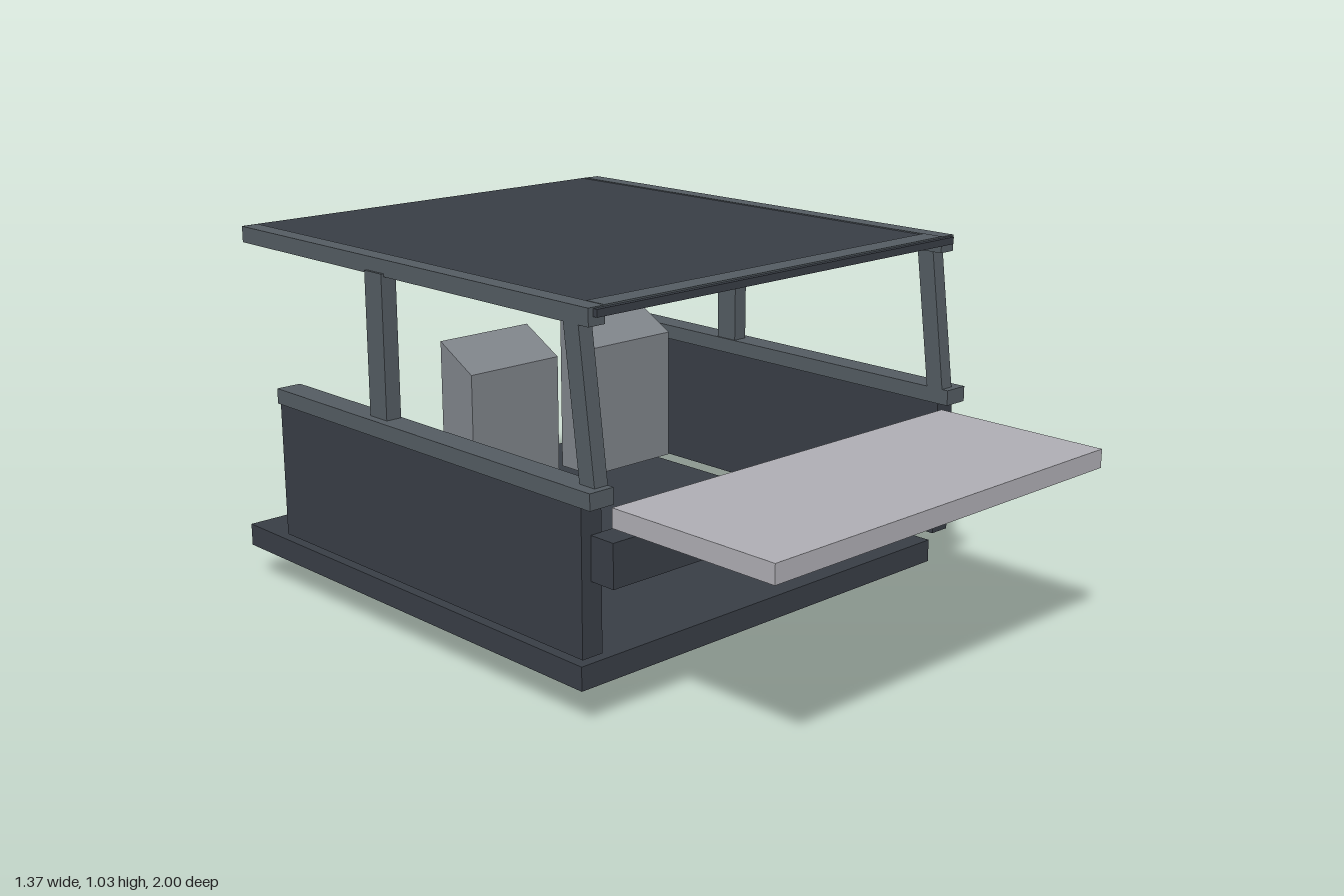
import * as THREE from 'three';

const mat = (name, color) => {
  const m = new THREE.MeshStandardMaterial({ color });
  m.name = name;
  return m;
};

export function createModel() {
  const group = new THREE.Group();
  const dark = mat('dark panel', 0x383d45);
  const frame = mat('slate frame', 0x535b61);
  const grey = mat('seat grey', 0x7e8389);
  const pale = mat('pale grey', 0xaeadb3);

  // Box given by its lower and upper limits on each axis
  const box = (name, m, [x0, x1], [y0, y1], [z0, z1]) => {
    const g = new THREE.BoxGeometry(x1 - x0, y1 - y0, z1 - z0);
    g.translate((x0 + x1) / 2, (y0 + y1) / 2, (z0 + z1) / 2);
    const mesh = new THREE.Mesh(g, m);
    mesh.name = name;
    group.add(mesh);
    return mesh;
  };

  // Side profile of [z, y] points, extruded across x
  const profile = (name, m, points, [x0, x1]) => {
    const shape = new THREE.Shape(points.map(([z, y]) => new THREE.Vector2(-z, y)));
    const g = new THREE.ExtrudeGeometry(shape, { depth: x1 - x0, bevelEnabled: false });
    g.rotateY(Math.PI / 2).translate(x0, 0, 0);
    const mesh = new THREE.Mesh(g, m);
    mesh.name = name;
    group.add(mesh);
  };

  // Body plates
  box('floor', dark, [-0.65, 0.65], [0.097, 0.16], [-1, 0.43]);
  box('frontBeam', dark, [-0.65, 0.65], [0.385, 0.498], [0.465, 0.543]);
  box('frontShelf', pale, [-0.605, 0.605], [0.51, 0.56], [0.49, 1]);

  // Roof panel with raised front edge
  box('roofPanel', dark, [-0.637, 0.637], [1.009, 1.028], [-0.967, 0.481]);
  box('roofFrontRail', frame, [-0.604, 0.604], [1.011, 1.032], [0.407, 0.468]);

  for (const s of [-1, 1]) {
    const side = s > 0 ? 'left' : 'right';
    const span = (a, b) => (s > 0 ? [a, b] : [-b, -a]);

    // Side wall and its capping rail
    box(side + 'SideWall', dark, span(0.617, 0.679), [0.197, 0.572], [-0.762, 0.467]);
    box(side + 'WallRail', frame, span(0.611, 0.684), [0.572, 0.614], [-0.768, 0.503]);

    // Roof supports
    box(side + 'RearPost', frame, span(0.615, 0.66), [0.605, 0.995], [-0.371, -0.3]);
    profile(side + 'FrontPillar', frame,
      [[0.485, 0.605], [0.433, 0.605], [0.381, 0.995], [0.433, 0.995]], span(0.611, 0.652));
    box(side + 'RoofRail', frame, span(0.602, 0.652), [0.987, 1.031], [-0.95, 0.468]);

    // Seat back with a sloping top, and the block below the floor
    profile(side + 'Seat', grey,
      [[-0.325, 0.305], [-0.455, 0.305], [-0.455, 0.747], [-0.325, 0.676]], span(0.062, 0.364));
    box(side + 'UnderBlock', grey, span(0.048, 0.379), [0, 0.097], [-0.441, -0.069]);
  }
  return group;
}
